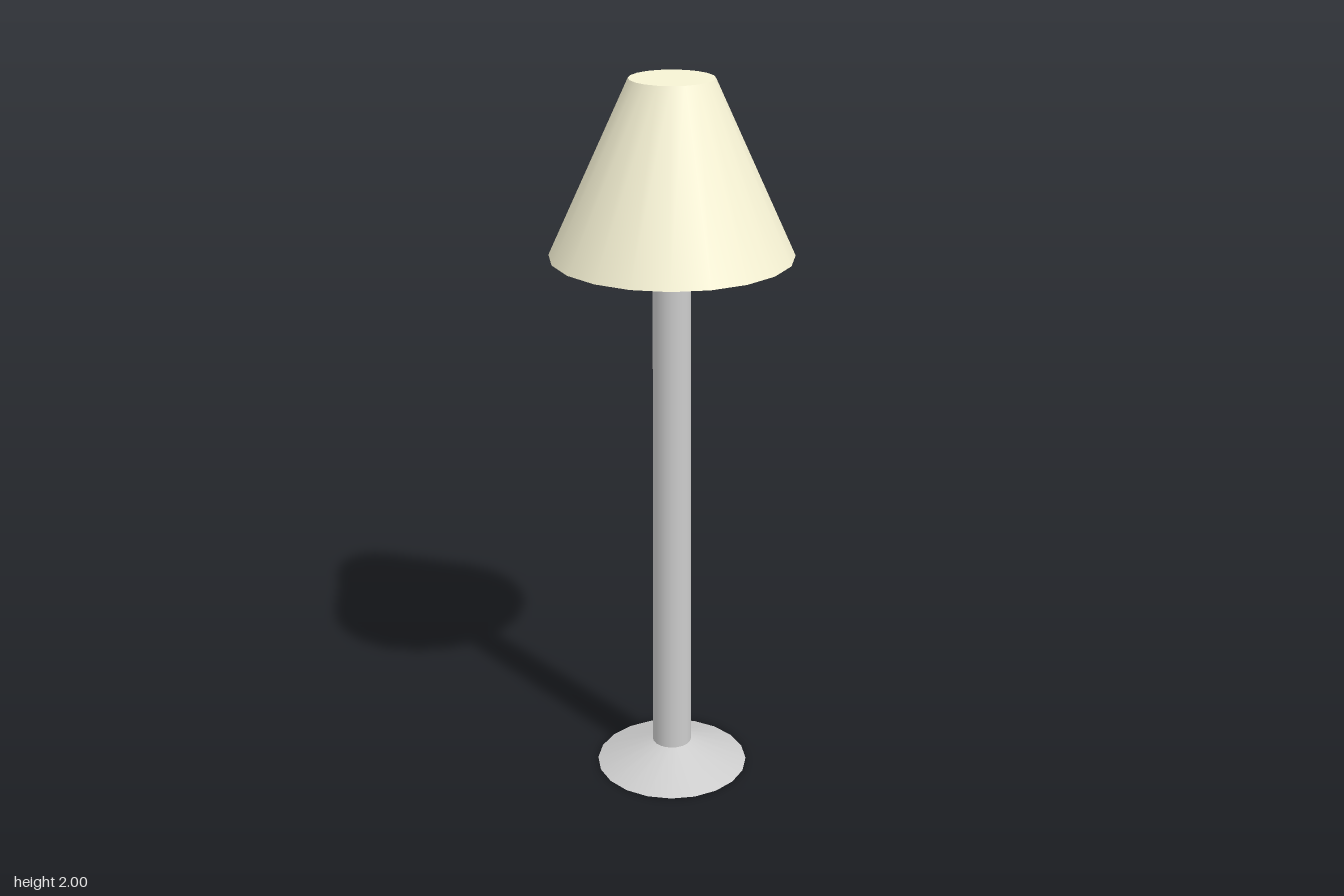
import * as THREE from 'three';

const SIDES = 20;

export function createModel() {
  const model = new THREE.Group();
  model.name = 'floorLamp';

  const metal = new THREE.MeshStandardMaterial({ color: 0xcccccc });
  const fabric = new THREE.MeshStandardMaterial({ color: 0xf6f2d4, side: THREE.DoubleSide });

  // Upright frustum between two heights
  function frustum(name, material, rBottom, rTop, yBottom, yTop, open = false) {
    const geometry = new THREE.CylinderGeometry(rTop, rBottom, yTop - yBottom, SIDES, 1, open);
    const mesh = new THREE.Mesh(geometry, material);
    mesh.name = name;
    mesh.position.y = (yBottom + yTop) / 2;
    model.add(mesh);
    return mesh;
  }

  // Flared foot and slightly tapered pole
  frustum('base', metal, 0.217, 0.056, 0, 0.068);
  frustum('pole', metal, 0.056, 0.05, 0.068, 1.65);

  // Shade: open below, closed on top
  frustum('shade', fabric, 0.325, 0.112, 1.535, 2, true);
  const cap = new THREE.Mesh(new THREE.CircleGeometry(0.112, SIDES), fabric);
  cap.name = 'shadeTop';
  cap.rotation.x = -Math.PI / 2;
  cap.position.y = 2;
  model.add(cap);

  // Flared holder joining the pole to the shade top
  frustum('shadeHolder', fabric, 0.05, 0.11, 1.65, 1.998, true);

  return model;
}
